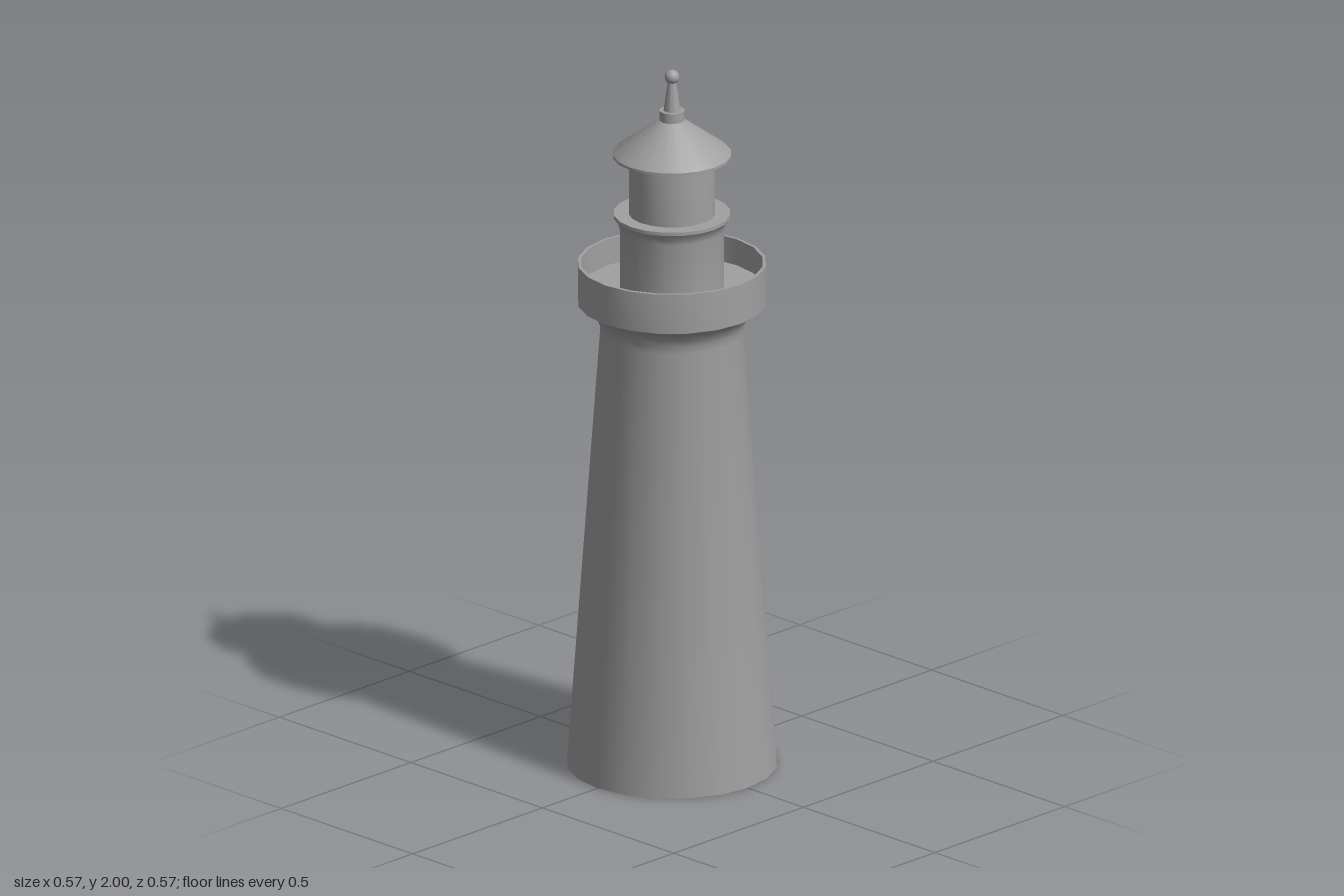
import * as THREE from 'three';
import { toCreasedNormals } from 'three/addons/utils/BufferGeometryUtils.js';

const SIDES = 20;

export function createModel() {
  const model = new THREE.Group();
  model.name = 'lighthouse';
  const stone = new THREE.MeshStandardMaterial({ color: 0xa0a0a0, side: THREE.DoubleSide });
  stone.name = 'grey stone';

  // Turns a [radius, height] profile, listed from the bottom up, around y
  function turned(name, profile) {
    const points = profile.map(([r, y]) => new THREE.Vector2(r, y));
    const geometry = toCreasedNormals(new THREE.LatheGeometry(points, SIDES), 0.6);
    const mesh = new THREE.Mesh(geometry, stone);
    mesh.name = name;
    model.add(mesh);
  }

  // Tapered shaft, open underneath, with a curved flare below the gallery
  turned('tower', [
    [0.287, 0], [0.196, 1.25], [0.198, 1.272], [0.206, 1.293], [0.221, 1.31], [0.257, 1.332],
  ]);

  // Parapet with a thin rim and a sunken floor
  turned('gallery', [
    [0.257, 1.332], [0.257, 1.445], [0.248, 1.445], [0.248, 1.37], [0.14, 1.37],
  ]);

  // Lower drum with a flared lip
  turned('watchRoom', [
    [0.143, 1.37], [0.143, 1.545], [0.147, 1.562], [0.159, 1.578], [0.159, 1.588], [0.115, 1.588],
  ]);

  turned('lanternRoom', [[0.118, 1.588], [0.118, 1.756]]);

  // Conical roof with a narrow eave
  turned('roof', [
    [0.11, 1.753], [0.162, 1.753], [0.162, 1.76], [0.158, 1.765], [0.034, 1.856],
  ]);

  // Collar and tapering spike
  turned('collar', [[0.034, 1.854], [0.034, 1.884], [0.02, 1.884]]);
  turned('spike', [[0.023, 1.884], [0.011, 1.97]]);

  // Ball on the tip
  const ball = new THREE.Mesh(new THREE.SphereGeometry(0.02, SIDES, 12), stone);
  ball.name = 'finialBall';
  ball.position.y = 1.98;
  model.add(ball);

  return model;
}
